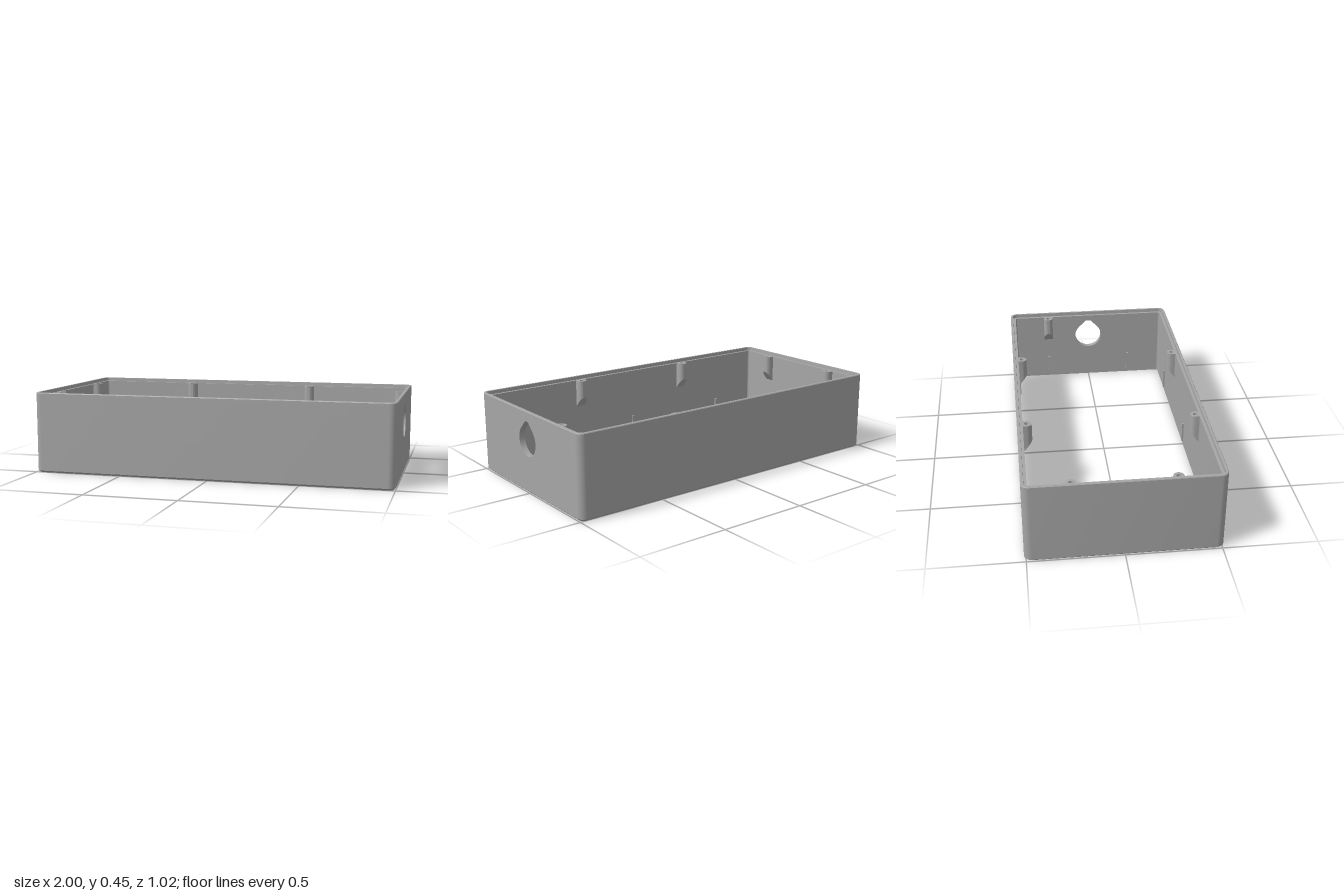
import * as THREE from 'three';
import { toCreasedNormals } from 'three/addons/utils/BufferGeometryUtils.js';

const CX = 0.96, CZ = 0.47; // centres of the rounded corners
const IN = 0.008, OUT = 0.04; // inner and outer corner radius
const SHELF = 0.43, LOW = 0.01, TOP = 0.45;

// Rounded-rectangle wall swept from a closed [radius, y] profile.
function wallGeometry() {
  const profile = [
    [IN, 0], [0.03, 0], [OUT, LOW], [OUT, SHELF], [OUT, TOP - 0.004], [0.037, TOP],
    [0.024, TOP], [0.023, SHELF], [IN, SHELF], [IN, LOW],
  ];
  const steps = 8, corners = [[1, 1], [-1, 1], [-1, -1], [1, -1]];
  const n = corners.length * (steps + 1), pos = [], index = [];
  for (const [r, y] of profile) {
    corners.forEach(([sx, sz], k) => {
      for (let s = 0; s <= steps; s++) {
        const a = (k + s / steps) * Math.PI / 2;
        pos.push(sx * CX + r * Math.cos(a), y, sz * CZ + r * Math.sin(a));
      }
    });
  }
  for (let i = 0; i < profile.length; i++) {
    const i2 = (i + 1) % profile.length;
    for (let j = 0; j < n; j++) {
      // leave the +x side open where the pierced panel sits
      if (j === n - 1 && (i === 2 || i === 8)) continue;
      const j2 = (j + 1) % n;
      const a = i * n + j, b = i * n + j2, c = i2 * n + j, d = i2 * n + j2;
      index.push(a, c, b, b, c, d);
    }
  }
  const g = new THREE.BufferGeometry();
  g.setAttribute('position', new THREE.Float32BufferAttribute(pos, 3));
  g.setIndex(index);
  return toCreasedNormals(g, 0.5);
}

// Side panel with a teardrop opening.
function panelGeometry() {
  const shape = new THREE.Shape();
  shape.moveTo(-CZ, LOW).lineTo(CZ, LOW).lineTo(CZ, SHELF).lineTo(-CZ, SHELF).closePath();
  const hole = new THREE.Path();
  hole.moveTo(0.015, 0.395).lineTo(-0.015, 0.395).lineTo(-0.06, 0.35);
  hole.absarc(0, 0.29, 0.085, Math.PI * 0.75, Math.PI * 2.25, false);
  shape.holes.push(hole);
  const g = new THREE.ExtrudeGeometry(shape, { depth: OUT - IN, bevelEnabled: false, curveSegments: 40 });
  g.rotateY(Math.PI / 2).translate(CX + IN, 0, 0);
  return toCreasedNormals(g, 0.5);
}

// Screw boss section: flat against the wall, round at the tip.
const BOSS_R = 0.028, BOSS_C = 0.02;
function bossGeometry(depth, pierced, taper) {
  const shape = new THREE.Shape();
  shape.moveTo(-BOSS_R, -0.004).lineTo(BOSS_R, -0.004).lineTo(BOSS_R, BOSS_C);
  shape.absarc(0, BOSS_C, BOSS_R, 0, Math.PI, false);
  if (pierced) {
    const hole = new THREE.Path();
    hole.absarc(0, BOSS_C, 0.012, 0, Math.PI * 2, true);
    shape.holes.push(hole);
  }
  const g = new THREE.ExtrudeGeometry(shape, { depth, bevelEnabled: false, curveSegments: 16 });
  g.rotateX(Math.PI / 2);
  // slope the underside back to the wall
  const p = g.attributes.position;
  for (let i = 0; i < p.count; i++) {
    if (p.getY(i) < -depth / 2) p.setY(i, p.getY(i) - taper * (1 - p.getZ(i) / (BOSS_R + BOSS_C)));
  }
  return toCreasedNormals(g, 0.5);
}

export function createModel() {
  const grey = new THREE.MeshStandardMaterial({ color: 0xa6a6a6 });
  grey.name = 'grey';
  const model = new THREE.Group();
  model.name = 'enclosureFrame';

  function add(parent, name, geometry) {
    const mesh = new THREE.Mesh(geometry, grey);
    mesh.name = name;
    parent.add(mesh);
    return mesh;
  }

  add(model, 'wall', wallGeometry());
  add(model, 'piercedSidePanel', panelGeometry());

  // Inner wall faces: local z points into the frame, t runs along the wall.
  const place = {
    back: (t) => [t, -CZ - IN, 0],
    front: (t) => [t, CZ + IN, Math.PI],
    right: (t) => [-CX - IN, t, Math.PI / 2],
    left: (t) => [CX + IN, t, -Math.PI / 2],
  };
  function mount(object, side, t, y) {
    const [x, z, turn] = place[side](t);
    object.position.set(x, y, z);
    object.rotation.y = turn;
    model.add(object);
  }

  // Screw bosses under the shelf
  const upper = bossGeometry(0.075, true, 0);
  const lower = bossGeometry(0.025, false, 0.06).translate(0, -0.075, 0);
  const bosses = { back: [-0.377, 0.377], front: [-0.377, 0.377], right: [-0.265, 0.265], left: [-0.265] };
  for (const side in bosses) {
    for (const t of bosses[side]) {
      const boss = new THREE.Group();
      boss.name = side + 'ScrewBoss';
      add(boss, 'bossSocket', upper);
      add(boss, 'bossFoot', lower);
      mount(boss, side, t, SHELF);
    }
  }

  // Short vertical ribs near the bottom edge
  const ribShape = new THREE.BoxGeometry(0.014, 0.12, 0.012).translate(0, 0, 0.004);
  const ribs = { back: [-0.677, 0, 0.677], front: [-0.677, 0, 0.677], right: [-0.265, 0.265], left: [-0.265, 0.265] };
  for (const side in ribs) {
    for (const t of ribs[side]) mount(add(model, side + 'Rib', ribShape), side, t, 0.083);
  }
  return model;
}
